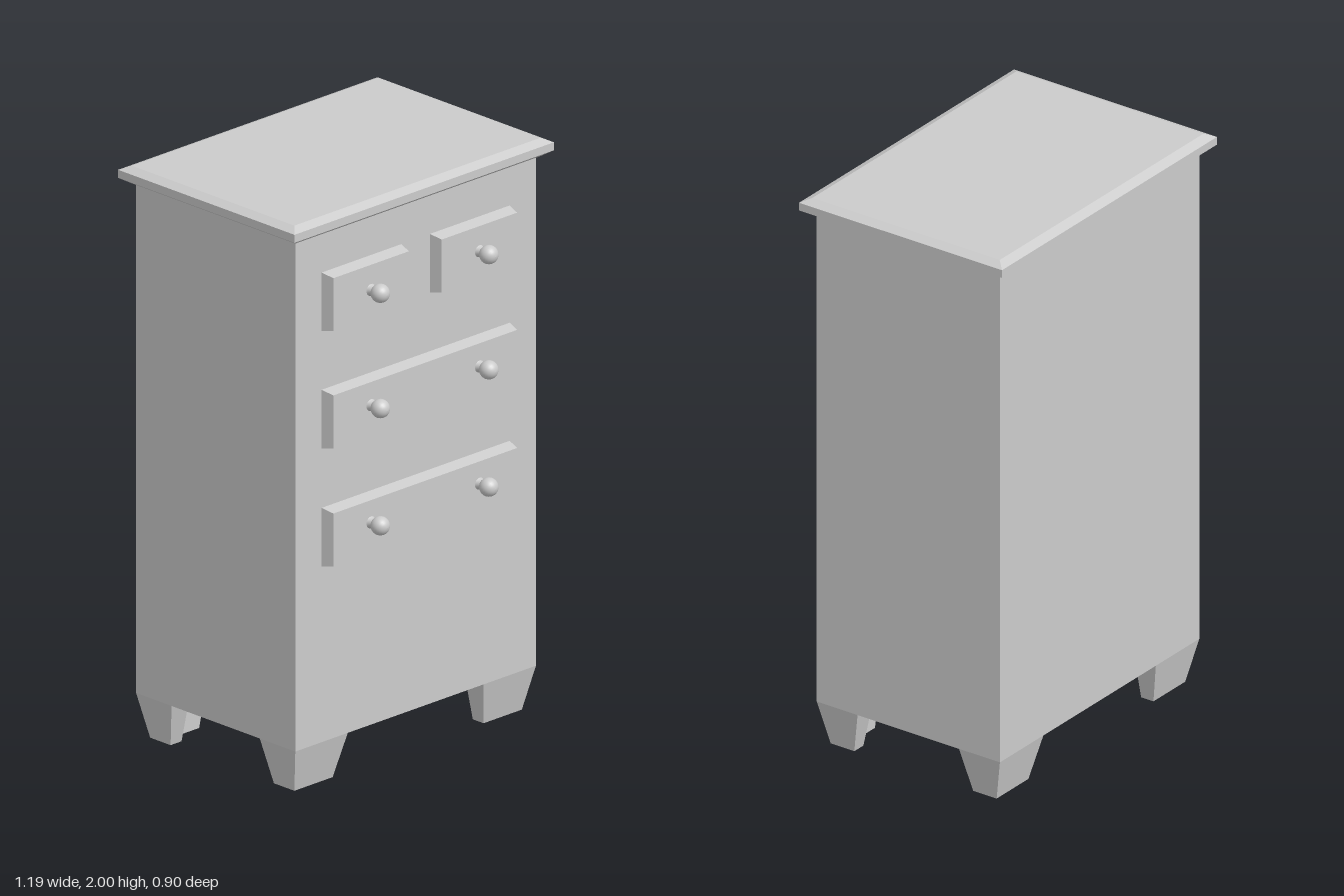
import * as THREE from 'three';

const grey = new THREE.MeshStandardMaterial({ color: 0xcccccc, flatShading: true });
const smoothGrey = new THREE.MeshStandardMaterial({ color: 0xcccccc });
const BODY_Z = -0.04; // the carcass sits slightly back of centre

// Solid through matching outlines [u, v] stacked along y (x = u, z = -v).
function loft(outlines, heights) {
  const clockwise = THREE.ShapeUtils.isClockWise(outlines[0].map(([u, v]) => new THREE.Vector2(u, v)));
  const rings = outlines.map((o) => (clockwise ? [...o].reverse() : o));
  const n = rings[0].length;
  const last = rings.length - 1;
  const pos = [];
  const put = (r, i) => pos.push(rings[r][i][0], heights[r], -rings[r][i][1]);
  for (let r = 0; r < last; r++) {
    for (let i = 0; i < n; i++) {
      const j = (i + 1) % n;
      put(r, i); put(r, j); put(r + 1, j);
      put(r, i); put(r + 1, j); put(r + 1, i);
    }
  }
  const cap = (r) => THREE.ShapeUtils.triangulateShape(rings[r].map(([u, v]) => new THREE.Vector2(u, v)), []);
  for (const [a, b, c] of cap(0)) { put(0, c); put(0, b); put(0, a); }
  for (const [a, b, c] of cap(last)) { put(last, a); put(last, b); put(last, c); }
  const geo = new THREE.BufferGeometry();
  geo.setAttribute('position', new THREE.Float32BufferAttribute(pos, 3));
  geo.computeVertexNormals();
  return geo;
}

const rect = (a, b) => [[-a, -b], [a, -b], [a, b], [-a, b]];

function part(name, geometry, material = grey) {
  const mesh = new THREE.Mesh(geometry, material);
  mesh.name = name;
  return mesh;
}

// L-shaped bracket foot, tapering towards the floor
function makeFoot(sx, sz) {
  const outline = (outX, inX, outZ, inZ) => [
    [outX, outZ], [inX, outZ], [inX, 0.285], [0.47, 0.285], [0.47, inZ], [outX, inZ],
  ].map(([x, z]) => [x * sx, -z * sz]);
  const foot = part('foot', loft(
    [outline(0.52, 0.345, 0.335, 0.24), outline(0.55, 0.31, 0.37, 0.205)], [0, 0.155]));
  foot.position.z = BODY_Z;
  return foot;
}

// Drawer front with sloping edges
function makeDrawer(width, height) {
  const w = width / 2, h = height / 2;
  const geo = loft([rect(w, h), rect(w - 0.01, h - 0.01)], [0, 0.045]);
  return part('drawerFront', geo.rotateX(Math.PI / 2));
}

// Round knob on a flared neck
function makeKnob() {
  const profile = [[0.022, 0], [0.018, 0.006], [0.016, 0.016]];
  for (let i = 0; i <= 12; i++) {
    const a = -1.03 + (i / 12) * (Math.PI / 2 + 1.03);
    profile.push([Math.max(0, 0.032 * Math.cos(a)), 0.045 + 0.032 * Math.sin(a)]);
  }
  const geo = new THREE.LatheGeometry(profile.map(([r, y]) => new THREE.Vector2(r, y)), 24);
  return part('knob', geo.rotateX(Math.PI / 2), smoothGrey);
}

export function createModel() {
  const model = new THREE.Group();
  model.name = 'chestOfDrawers';

  // Carcass
  const body = part('body', new THREE.BoxGeometry(1.1, 1.79, 0.74));
  body.position.set(0, 1.05, BODY_Z);
  model.add(body);

  // Overhanging top with bevelled edges
  const top = part('top', loft(
    [rect(0.56, 0.38), rect(0.593, 0.41), rect(0.593, 0.41), rect(0.562, 0.378)],
    [1.937, 1.957, 1.985, 2]));
  top.position.z = BODY_Z;
  model.add(top);

  // Feet
  for (const sx of [-1, 1]) for (const sz of [-1, 1]) model.add(makeFoot(sx, sz));

  // Drawers: two small above two wide, with a pair of knobs per row
  const rows = [
    { y: 1.695, knobY: 1.7, width: 0.365, xs: [-0.2475, 0.2475] },
    { y: 1.285, knobY: 1.297, width: 0.86, xs: [0] },
    { y: 0.872, knobY: 0.887, width: 0.86, xs: [0] },
  ];
  for (const { y, knobY, width, xs } of rows) {
    for (const x of xs) {
      const drawer = makeDrawer(width, 0.205);
      drawer.position.set(x, y, 0.33);
      model.add(drawer);
    }
    for (const x of [-0.248, 0.248]) {
      const knob = makeKnob();
      knob.position.set(x, knobY, 0.373);
      model.add(knob);
    }
  }
  return model;
}
